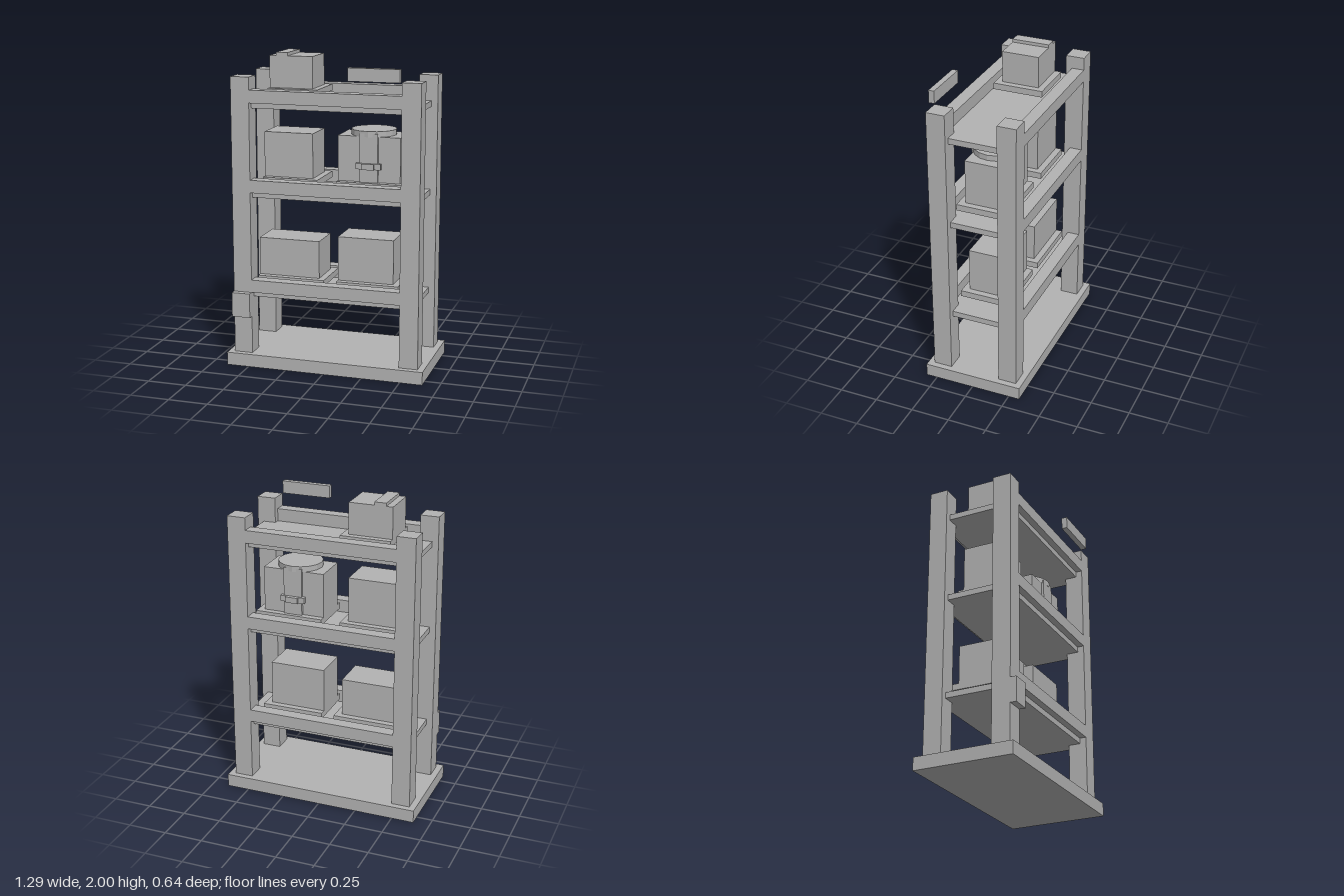
import * as THREE from 'three';

export function createModel() {
  const group = new THREE.Group();
  const grey = new THREE.MeshStandardMaterial({ color: 0xb2b2b2 });
  grey.name = 'plainGrey';

  // Box given by its min and max along each axis
  const block = (name, x0, x1, y0, y1, z0, z1) => {
    const mesh = new THREE.Mesh(new THREE.BoxGeometry(x1 - x0, y1 - y0, z1 - z0), grey);
    mesh.position.set((x0 + x1) / 2, (y0 + y1) / 2, (z0 + z1) / 2);
    mesh.name = name;
    group.add(mesh);
    return mesh;
  };
  // Same block at front and back
  const frontAndBack = (name, x0, x1, y0, y1, z0, z1) => {
    block(name + 'Front', x0, x1, y0, y1, z0, z1);
    block(name + 'Back', x0, x1, y0, y1, -z1, -z0);
  };

  // Floor slab and four uprights
  block('base', -0.645, 0.645, 0, 0.083, -0.322, 0.322);
  frontAndBack('postLeft', 0.485, 0.605, 0.083, 1.86, 0.163, 0.283);
  frontAndBack('postRight', -0.605, -0.485, 0.083, 1.86, 0.163, 0.283);

  // Shelf levels: board, two beams, and the loads with their pallets
  const levels = [
    { y: 0.45, loads: [[-0.485, -0.085, 0.81], [0.04, 0.402, 0.852]] },
    { y: 1.097, loads: [[-0.445, -0.125, 1.5], [0.04, 0.44, 1.5]] },
    { y: 1.662, loads: [[-0.405, -0.125, 1.98]] },
  ];
  for (const { y, loads } of levels) {
    block('shelfBoard', -0.565, 0.565, y, y + 0.037, -0.24, 0.24);
    frontAndBack('beam', -0.485, 0.485, y + 0.037, y + 0.118, 0.203, 0.283);
    for (const [x0, x1, top] of loads) {
      block('pallet', x0, x1 + 0.042, y + 0.078, y + 0.118, -0.161, 0.161);
      block('crate', x0, x1, y + 0.118, top, -0.12, 0.12);
    }
  }

  // Tape strip on the top crate
  block('tapeStrip', -0.363, -0.287, 1.98, 2, -0.12, 0.12);

  // Round lid, straps and buckles on the middle crate
  const lid = new THREE.Mesh(
    new THREE.CylinderGeometry(0.142, 0.142, 0.036, 16).toNonIndexed(), grey);
  lid.geometry.computeVertexNormals();
  lid.position.set(0.24, 1.517, 0);
  lid.name = 'lid';
  group.add(lid);
  frontAndBack('strap', 0.18, 0.3, 1.215, 1.52, 0.12, 0.137);
  frontAndBack('buckleBar', 0.16, 0.32, 1.298, 1.335, 0.12, 0.147);
  frontAndBack('buckle', 0.2, 0.28, 1.298, 1.335, 0.147, 0.163);

  // Blank label plates
  block('upperPlate', 0.16, 0.483, 1.862, 1.942, 0.285, 0.322);
  block('lowerPlate', -0.605, -0.485, 0.328, 0.486, 0.283, 0.322);

  return group;
}
